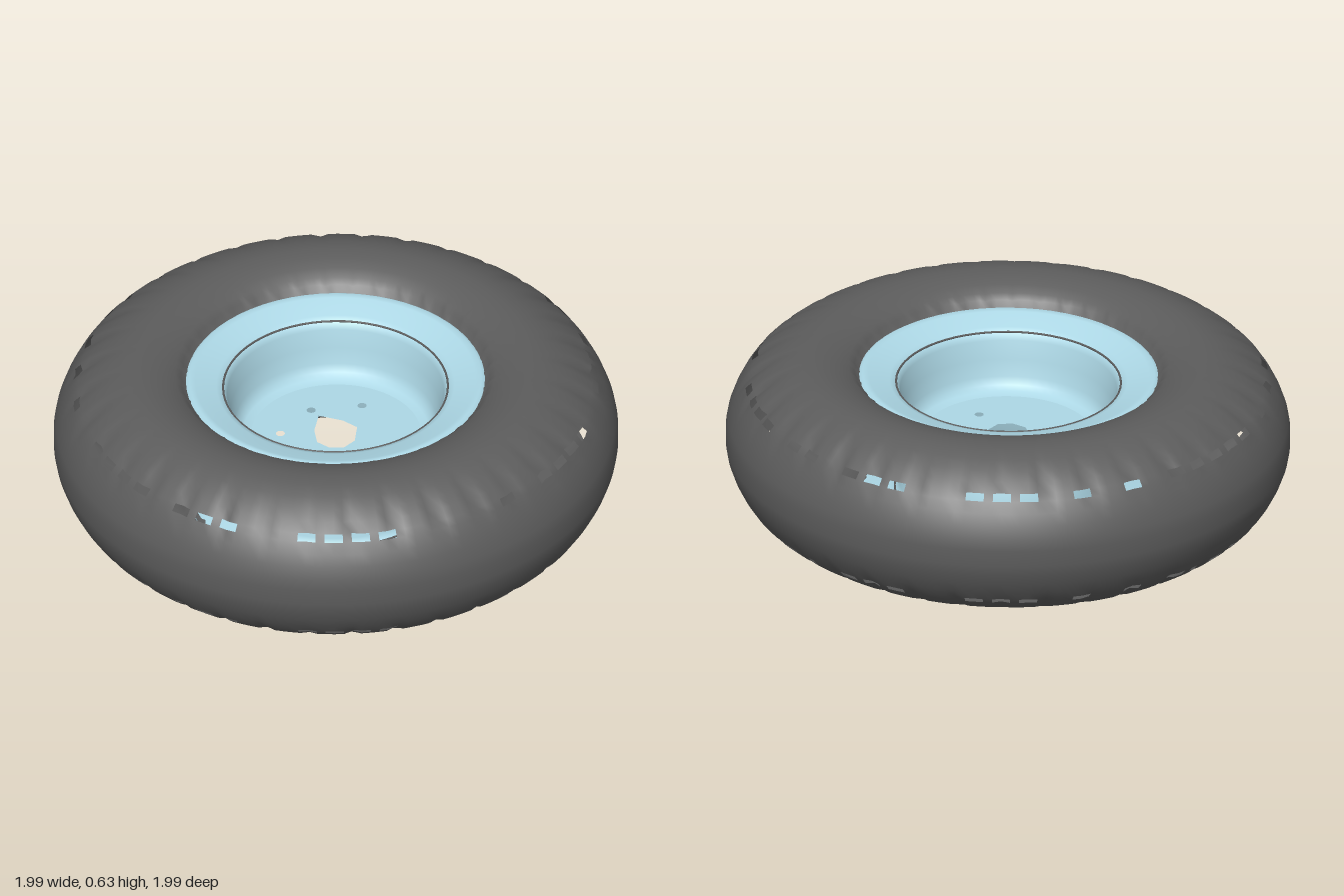
import * as THREE from 'three';
import { mergeVertices } from 'three/addons/utils/BufferGeometryUtils.js';

const SEGMENTS = 180;
const rubber = new THREE.MeshStandardMaterial({ color: 0x5c5c5c, side: THREE.DoubleSide });
const steel = new THREE.MeshStandardMaterial({ color: 0xadd8e6, side: THREE.DoubleSide });

const toVectors = (pairs) => pairs.map(([r, y]) => new THREE.Vector2(r, y));

// repeatable pseudo-random value in 0..1 for an integer
function hash(n) {
  const s = Math.sin(n * 127.1 + 3.7) * 43758.5453;
  return s - Math.floor(s);
}

function addMesh(parent, name, geometry, material) {
  const mesh = new THREE.Mesh(geometry, material);
  mesh.name = name;
  parent.add(mesh);
  return mesh;
}

// Tyre: hollow shell with worn shoulder lugs and thin slits under the shoulder
function tyreGeometry() {
  const half = [ // radius, height above the middle plane, from tread to bead
    [0.995, 0.03], [0.988, 0.07], [0.972, 0.115], [0.952, 0.155], [0.928, 0.192],
    [0.908, 0.214], [0.875, 0.242], [0.835, 0.268], [0.79, 0.29], [0.74, 0.306],
    [0.69, 0.311], [0.64, 0.304], [0.6, 0.291], [0.565, 0.275], [0.545, 0.258],
    [0.53, 0.235], [0.512, 0.228],
  ];
  const slitRow = 4;
  const profile = [...half.map(([r, y]) => [r, -y]).reverse(), ...half];
  const rows = profile.length - 1;
  const slits = [half.length + slitRow, half.length - 2 - slitRow];
  let geometry = new THREE.LatheGeometry(toVectors(profile), SEGMENTS);

  // leave out short dashes of the slit rows
  const source = geometry.index.array;
  const index = [];
  for (let q = 0; q < source.length / 6; q++) {
    const column = Math.floor(q / rows);
    const open = hash(Math.floor(column / 3)) > 0.35 && column % 3 !== 0;
    if (slits.includes(q % rows) && open) continue;
    index.push(...source.slice(q * 6, q * 6 + 6));
  }
  geometry.setIndex(index);
  geometry.deleteAttribute('uv');
  geometry.deleteAttribute('normal');

  // press narrow grooves into the shoulders
  const pos = geometry.attributes.position;
  for (let i = 0; i < pos.count; i++) {
    const column = Math.floor(i / profile.length) % SEGMENTS;
    const y = pos.getY(i);
    const fade = Math.max(0, 1 - Math.abs(Math.abs(y) - 0.235) / 0.07);
    const block = Math.floor(column / 5);
    const groove = column % 5 === 0 ? 0.01 + 0.008 * hash(block + (y > 0 ? 50 : 90)) : 0;
    const k = 1 - groove * fade;
    pos.setXYZ(i, pos.getX(i) * k, y * k, pos.getZ(i) * k);
  }
  geometry = mergeVertices(geometry);
  geometry.computeVertexNormals();
  return geometry;
}

// Wheel disc at mid height with a worn hub opening and four bolt holes
function discGeometry(radius) {
  const shape = new THREE.Shape().absarc(0, 0, radius, 0, Math.PI * 2, false);
  const hub = [[-0.09, -0.09], [0, -0.085], [0.06, -0.06], [0.075, 0.02],
    [0.05, 0.07], [0, 0.085], [-0.05, 0.065], [-0.08, 0]];
  shape.holes.push(new THREE.Path(hub.map(([x, z]) => new THREE.Vector2(x, -z))));
  for (const [x, z] of [[0.04, -0.19], [-0.19, 0.05], [0.13, 0.13], [-0.125, -0.115]]) {
    shape.holes.push(new THREE.Path().absarc(x, -z, 0.016, 0, Math.PI * 2, true));
  }
  return new THREE.ShapeGeometry(shape, 32).rotateX(-Math.PI / 2);
}

export function createModel() {
  const model = new THREE.Group();
  model.name = 'wheel';
  const wheel = new THREE.Group();
  wheel.name = 'tiltedWheel';
  wheel.position.y = 0.322;
  wheel.rotation.z = 0.009;
  model.add(wheel);

  addMesh(wheel, 'tyre', tyreGeometry(), rubber);

  // Rim flange and dish wall, mirrored above and below the disc
  const dish = [[0.53, 0.232], [0.515, 0.242], [0.495, 0.238], [0.46, 0.226],
    [0.42, 0.214], [0.395, 0.204], [0.382, 0.18], [0.37, 0.11], [0.357, 0.05],
    [0.345, 0.022], [0.328, 0.007], [0.3, 0]];
  for (const side of [1, -1]) {
    const points = dish.map(([r, y]) => [r, y * side]);
    if (side < 0) points.reverse();
    const label = side > 0 ? 'upper' : 'lower';
    addMesh(wheel, label + 'Rim', new THREE.LatheGeometry(toVectors(points), 64), steel);

    // Dark seam ring where the flange turns into the dish
    const seam = new THREE.TorusGeometry(0.397, 0.004, 6, 64).rotateX(Math.PI / 2);
    addMesh(wheel, label + 'SeamRing', seam, rubber).position.y = 0.205 * side;
  }

  addMesh(wheel, 'wheelDisc', discGeometry(0.3), steel);
  return model;
}
